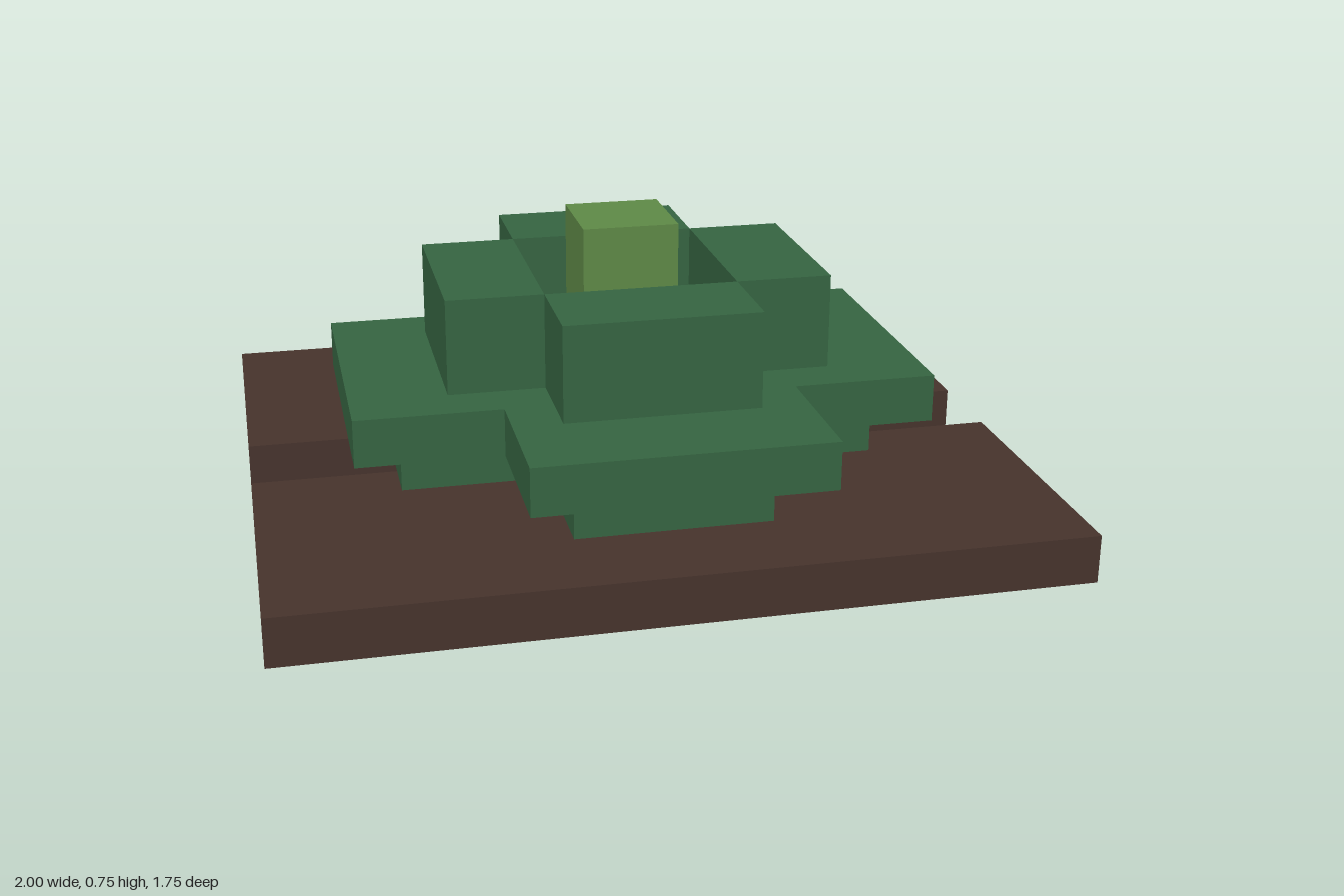
import * as THREE from 'three';

export function createModel() {
  const model = new THREE.Group();
  model.name = 'steppedPlant';

  const material = (name, color) => {
    const m = new THREE.MeshStandardMaterial({ color });
    m.name = name;
    return m;
  };
  const soil = material('soilBrown', 0x46332c);
  const leaf = material('leafGreen', 0x356441);
  const bud = material('budGreen', 0x5e8946);

  // Horizontal slab from a plan outline of [x, z] points
  const addSlab = (name, points, y, height, mat) => {
    const shape = new THREE.Shape(points.map(([x, z]) => new THREE.Vector2(x, -z)));
    const geometry = new THREE.ExtrudeGeometry(shape, { depth: height, bevelEnabled: false });
    geometry.rotateX(-Math.PI / 2);
    const mesh = new THREE.Mesh(geometry, mat);
    mesh.name = name;
    mesh.position.y = y;
    model.add(mesh);
  };

  const addBox = (name, size, position, mat) => {
    const mesh = new THREE.Mesh(new THREE.BoxGeometry(...size), mat);
    mesh.name = name;
    mesh.position.set(...position);
    model.add(mesh);
  };

  // Plus-shaped outline: reach r, arm half-width w
  const cross = (r, w) => [
    [-w, r], [w, r], [w, w], [r, w], [r, -w], [w, -w],
    [w, -r], [-w, -r], [-w, -w], [-r, -w], [-r, w], [-w, w],
  ];

  // Base plate with a deep slot in each side
  addSlab('basePlate', [
    [-1, 0.875], [1, 0.875], [1, 0.125], [0.375, 0.125], [0.375, -0.125], [1, -0.125],
    [1, -0.875], [-1, -0.875], [-1, -0.125], [-0.375, -0.125], [-0.375, 0.125], [-1, 0.125],
  ], 0, 0.125, soil);

  // Two solid leaf tiers
  addSlab('lowerTier', cross(0.625, 0.25), 0.125, 0.125, leaf);
  addSlab('middleTier', cross(0.75, 0.375), 0.25, 0.125, leaf);

  // Four upper blocks around an open centre
  for (const s of [-1, 1]) {
    addBox(s > 0 ? 'leftUpperBlock' : 'rightUpperBlock', [0.25, 0.25, 0.5], [s * 0.375, 0.5, 0], leaf);
    addBox(s > 0 ? 'frontUpperBlock' : 'backUpperBlock', [0.5, 0.25, 0.25], [0, 0.5, s * 0.375], leaf);
  }

  // Bud rising from the open centre
  addBox('centreBud', [0.25, 0.375, 0.25], [0, 0.5625, 0], bud);

  return model;
}
